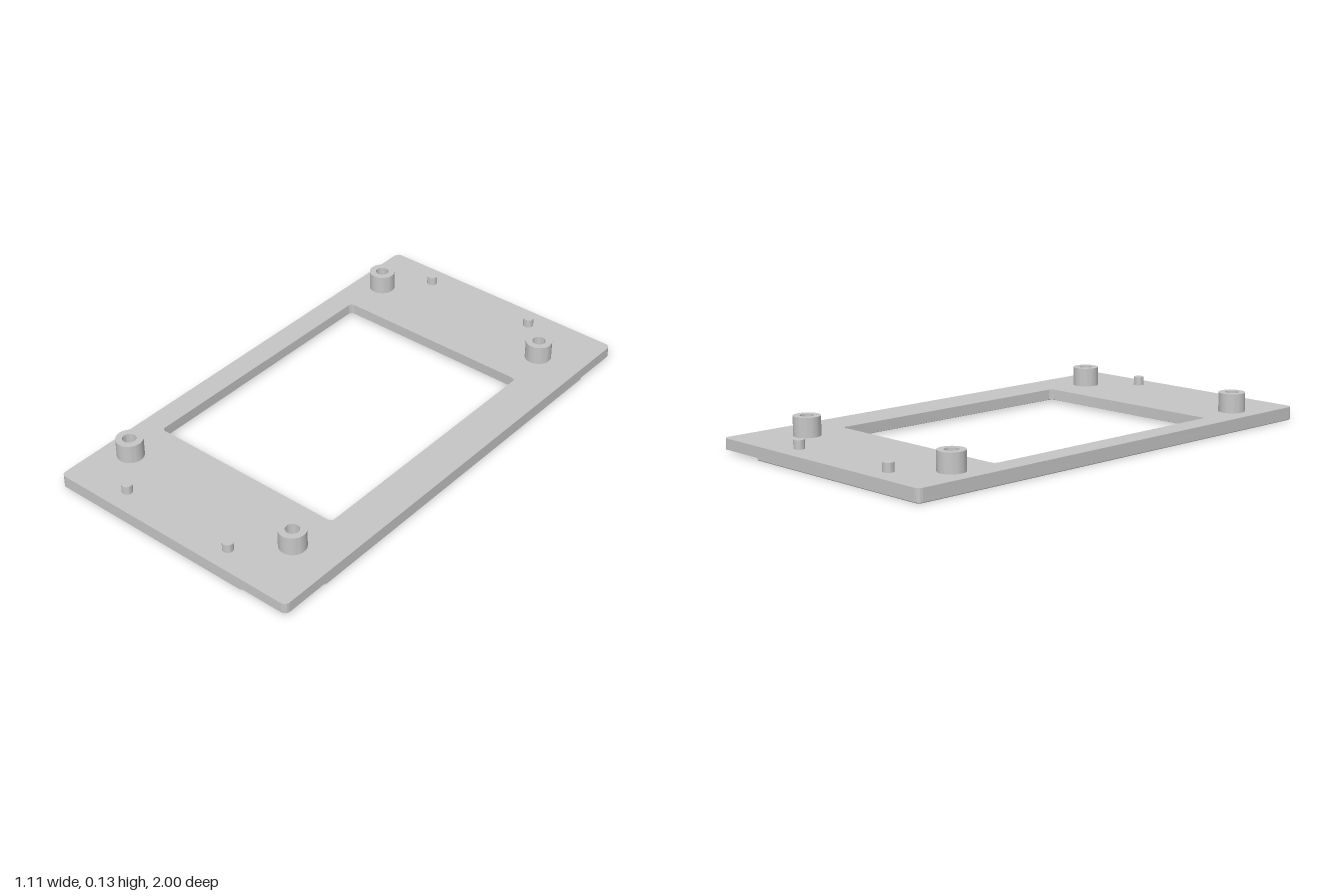
import * as THREE from 'three';
import { toCreasedNormals } from 'three/addons/utils/BufferGeometryUtils.js';

const HALF_W = 0.553, CENTRE = -0.034; // plate half width, x centre of the window

// Rounded rectangle outline in (x, z)
function roundedRect(x0, x1, z0, z1, r, Type = THREE.Path) {
  const p = new Type();
  p.moveTo(x0 + r, z0);
  p.lineTo(x1 - r, z0);
  p.absarc(x1 - r, z0 + r, r, -Math.PI / 2, 0);
  p.lineTo(x1, z1 - r);
  p.absarc(x1 - r, z1 - r, r, 0, Math.PI / 2);
  p.lineTo(x0 + r, z1);
  p.absarc(x0 + r, z1 - r, r, Math.PI / 2, Math.PI);
  p.lineTo(x0, z0 + r);
  p.absarc(x0 + r, z0 + r, r, Math.PI, Math.PI * 1.5);
  return p;
}

function circle(x, z, r, Type = THREE.Path) {
  return new Type().absarc(x, z, r, 0, Math.PI * 2);
}

// Extrude an (x, z) shape between two heights
function slab(shape, bottom, top, bevel = 0) {
  const geo = new THREE.ExtrudeGeometry(shape, {
    depth: top - bottom - 2 * bevel, curveSegments: 16, bevelEnabled: bevel > 0,
    bevelThickness: bevel, bevelSize: bevel, bevelOffset: -bevel, bevelSegments: 1,
  });
  geo.rotateX(Math.PI / 2);
  geo.translate(0, top - bevel, 0);
  return toCreasedNormals(geo, 0.5);
}

export function createModel() {
  const group = new THREE.Group();
  const grey = new THREE.MeshStandardMaterial({ color: 0xc6c6c6 });
  grey.name = 'light grey plastic';
  const add = (name, geo, x = 0, z = 0) => {
    const mesh = new THREE.Mesh(geo, grey);
    mesh.name = name;
    mesh.position.set(x, 0, z);
    group.add(mesh);
  };

  // Main plate with the off-centre window
  const plate = roundedRect(-HALF_W, HALF_W, -1, 1, 0.022, THREE.Shape);
  plate.holes.push(roundedRect(CENTRE - 0.423, CENTRE + 0.423, -0.565, 0.565, 0.018));
  add('plate', slab(plate, 0.01, 0.053));

  // Underside layer: two clipped corners, a wider window and two shallow recesses
  const w = HALF_W, r = 0.022;
  const under = new THREE.Shape();
  under.moveTo(-w + r, -1);
  under.lineTo(0.34, -1);
  under.lineTo(w, -0.79);
  under.lineTo(w, 0.79);
  under.lineTo(0.34, 1);
  under.lineTo(-w + r, 1);
  under.absarc(-w + r, 1 - r, r, Math.PI / 2, Math.PI);
  under.lineTo(-w, -1 + r);
  under.absarc(-w + r, -1 + r, r, Math.PI, Math.PI * 1.5);
  under.holes.push(
    roundedRect(CENTRE - 0.453, CENTRE + 0.453, -0.597, 0.597, 0.022),
    circle(CENTRE, -0.765, 0.168),
    roundedRect(CENTRE - 0.432, CENTRE + 0.432, 0.72, 0.815, 0.015),
  );
  add('undersideLayer', slab(under, 0, 0.02, 0.003));

  // Hollow bosses and locating pins at both ends
  const ring = circle(0, 0, 0.053, THREE.Shape);
  ring.holes.push(circle(0, 0, 0.027));
  const bossGeo = slab(ring, 0.05, 0.13);
  const pinGeo = slab(circle(0, 0, 0.021, THREE.Shape), 0.05, 0.088);
  for (const side of [-1, 1]) {
    for (const x of [-0.44, 0.368]) add('screwBoss', bossGeo, x, side * 0.751);
    for (const x of [-0.295, 0.206]) add('locatingPin', pinGeo, x, side * 0.912);
  }
  return group;
}
